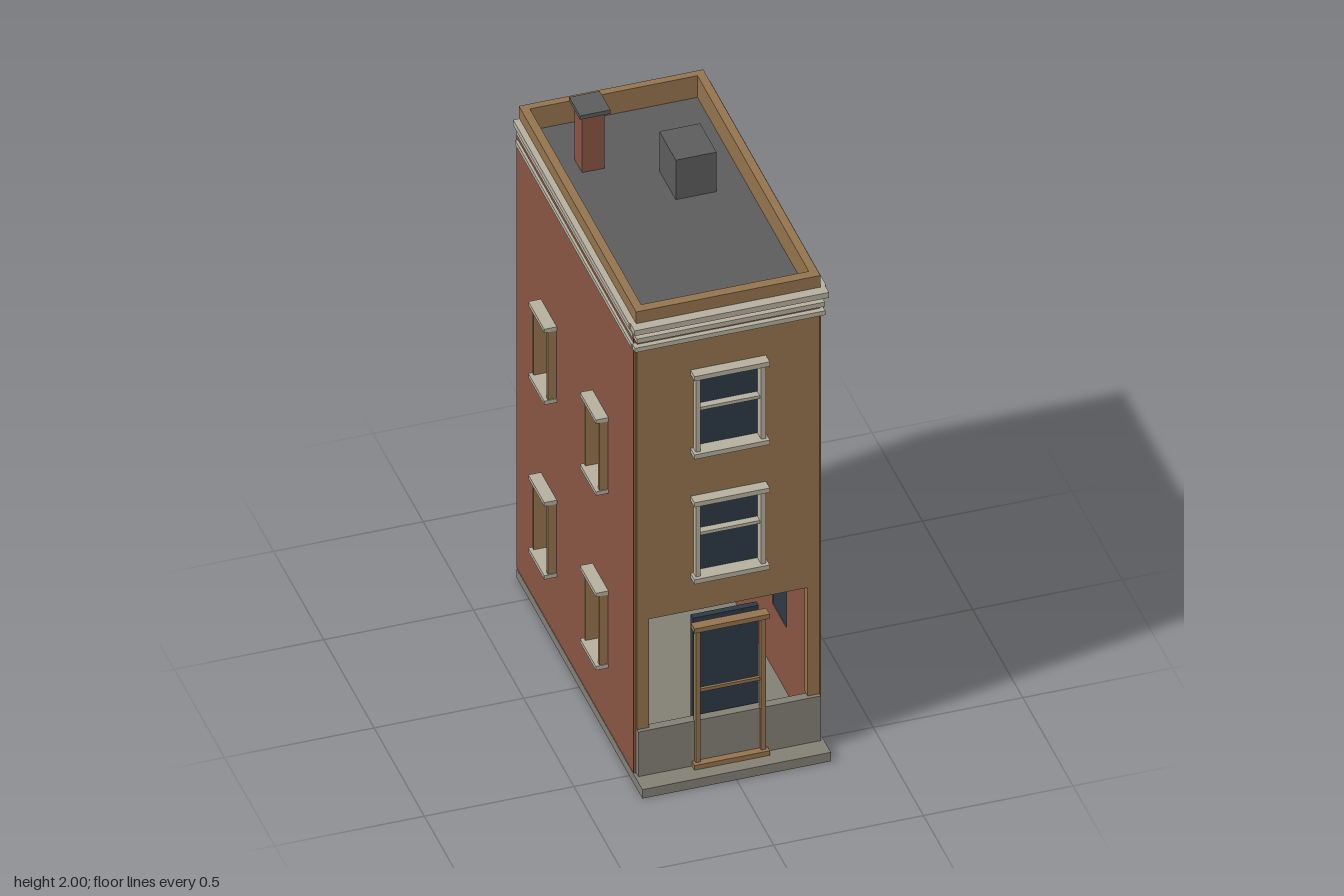
import * as THREE from 'three';

const mat = (name, color) => Object.assign(new THREE.MeshStandardMaterial({ color }), { name });

export function createModel() {
  const brick = mat('red brick', 0x885443);
  const tan = mat('tan stone', 0x93734e);
  const trim = mat('pale trim', 0xb5af9e);
  const stone = mat('grey stone', 0x827f74);
  const slate = mat('dark roof', 0x5c5c5c);
  const glass = mat('window glass', 0x2d3a45);

  const model = new THREE.Group();
  model.name = 'townhouse';

  // Box given by its lower and upper limits on each axis
  function box(name, material, x0, x1, y0, y1, z0, z1, parent = model) {
    const mesh = new THREE.Mesh(new THREE.BoxGeometry(x1 - x0, y1 - y0, z1 - z0), material);
    mesh.position.set((x0 + x1) / 2, (y0 + y1) / 2, (z0 + z1) / 2);
    mesh.name = name;
    parent.add(mesh);
    return mesh;
  }

  const rect = (P, x0, x1, y0, y1) => new P([[x0, y0], [x1, y0], [x1, y1], [x0, y1]]
    .map(([x, y]) => new THREE.Vector2(x, y)));

  // Upright wall pierced by rectangular holes [x0, x1, y0, y1]
  function wall(name, material, outline, holes, depth) {
    const shape = outline.isShape ? outline : rect(THREE.Shape, ...outline);
    holes.forEach(h => shape.holes.push(rect(THREE.Path, ...h)));
    const mesh = new THREE.Mesh(new THREE.ExtrudeGeometry(shape, { depth, bevelEnabled: false }), material);
    mesh.name = name;
    model.add(mesh);
    return mesh;
  }

  // Ground slab and low front panel
  box('groundSlab', stone, -0.315, 0.315, 0, 0.035, -0.622, 0.63);
  box('frontPlinth', stone, -0.305, 0.305, 0.035, 0.21, 0.53, 0.56);

  // Side walls with two rows of windows
  const sideRows = [[0.285, 0.565], [0.97, 1.245]];
  const sideZ = [0.207, -0.307];
  const sideHoles = sideRows.flatMap(([a, b]) => sideZ.map(z => [-z - 0.068, -z + 0.068, a, b]));
  for (const s of [1, -1]) {
    const side = s > 0 ? 'left' : 'right';
    const w = wall(side + 'Wall', brick, [-0.538, 0.615, 0.035, 1.78], sideHoles, 0.028);
    w.geometry.rotateY(Math.PI / 2);
    w.position.x = s > 0 ? 0.285 : -0.313;

    // Projecting side window surrounds, mirrored across the house
    for (const [a, b] of sideRows) for (const z of sideZ) {
      const win = new THREE.Group();
      win.name = side + 'Window';
      model.add(win);
      const part = (name, m, x0, x1, ...rest) =>
        box(name, m, Math.min(s * x0, s * x1), Math.max(s * x0, s * x1), ...rest, win);
      part('glass', glass, 0.288, 0.3, a, b, z - 0.068, z + 0.068);
      for (const t of [-1, 1]) {
        const c = z + t * 0.07;
        part('jamb', tan, 0.3, 0.342, a, b, c - 0.006, c + 0.006);
      }
      part('head', trim, 0.3, 0.355, b - 0.004, b + 0.011, z - 0.079, z + 0.079);
      part('sill', trim, 0.3, 0.355, a - 0.011, a + 0.004, z - 0.079, z + 0.079);
    }
  }

  // Back wall with two plain recessed windows
  const backHoles = sideRows.map(([a, b]) => [-0.095, 0.095, a, b]);
  wall('backWall', brick, [-0.313, 0.313, 0.035, 1.78], backHoles, 0.028).position.z = -0.628;
  for (const [a, b] of sideRows) box('backGlass', glass, -0.095, 0.095, a, b, -0.616, -0.606);

  // Front facade, notched at the bottom for the porch opening
  const facade = new THREE.Shape([[-0.305, 0.21], [-0.265, 0.21], [-0.265, 0.635], [0.265, 0.635],
    [0.265, 0.21], [0.305, 0.21], [0.305, 1.78], [-0.305, 1.78]].map(([x, y]) => new THREE.Vector2(x, y)));
  facade.isShape = true;
  const frontRows = [[0.775, 1.075], [1.265, 1.57]];
  wall('frontFacade', tan, facade, frontRows.map(([a, b]) => [-0.105, 0.105, a, b]), 0.03).position.z = 0.517;

  // Framed opening on the front: jambs, middle bar, head and sill
  function frontFrame(name, m, y0, y1, bar, zBack) {
    const frame = new THREE.Group();
    frame.name = name;
    model.add(frame);
    for (const c of [-0.109, 0.109]) box('jamb', m, c - 0.008, c + 0.008, y0, y1, zBack, 0.572, frame);
    box('middleBar', m, -0.105, 0.105, bar - 0.006, bar + 0.006, zBack, 0.56, frame);
    box('head', m, -0.126, 0.126, y1 - 0.008, y1 + 0.01, zBack, 0.585, frame);
    box('sill', m, -0.126, 0.126, y0 - 0.01, y0 + 0.008, zBack, 0.585, frame);
    return frame;
  }
  for (const [a, b] of frontRows) {
    const win = frontFrame('frontWindow', trim, a, b, a + 0.165, 0.535);
    box('glass', glass, -0.105, 0.105, a, b, 0.522, 0.535, win);
  }
  const door = frontFrame('doorFrame', tan, 0.046, 0.58, 0.325, 0.55);
  box('glass', glass, -0.11, 0.11, 0.05, 0.585, 0.5, 0.522, door);

  // Roof deck and parapet
  box('roofDeck', slate, -0.29, 0.29, 1.72, 1.765, -0.6, 0.518);
  for (const s of [-1, 1]) {
    const c = s * 0.294;
    box('sideParapet', tan, c - 0.014, c + 0.014, 1.765, 1.85, -0.62, 0.547);
  }
  box('frontParapet', tan, -0.28, 0.28, 1.765, 1.85, 0.514, 0.547);
  box('backParapet', tan, -0.28, 0.28, 1.765, 1.85, -0.62, -0.594);

  // Three cornice bands around the front and sides
  [[1.705, 1.722, 0.322, 0.565], [1.744, 1.762, 0.318, 0.572], [1.783, 1.804, 0.329, 0.582]]
    .forEach(([a, b, x, z]) => {
      box('frontCornice', trim, -x + 0.004, x - 0.004, a, b, 0.535, z);
      for (const s of [-1, 1]) {
        const c = s * (x + 0.3) / 2, h = (x - 0.3) / 2;
        box('sideCornice', trim, c - h, c + h, a, b, -0.615, 0.54);
      }
    });

  // Chimney and rooftop unit
  box('chimney', brick, -0.195, -0.12, 1.765, 1.985, -0.403, -0.327);
  box('chimneyCap', slate, -0.207, -0.105, 1.985, 2, -0.42, -0.313);
  box('roofUnit', slate, 0.04, 0.176, 1.765, 1.92, -0.258, -0.095);

  return model;
}
